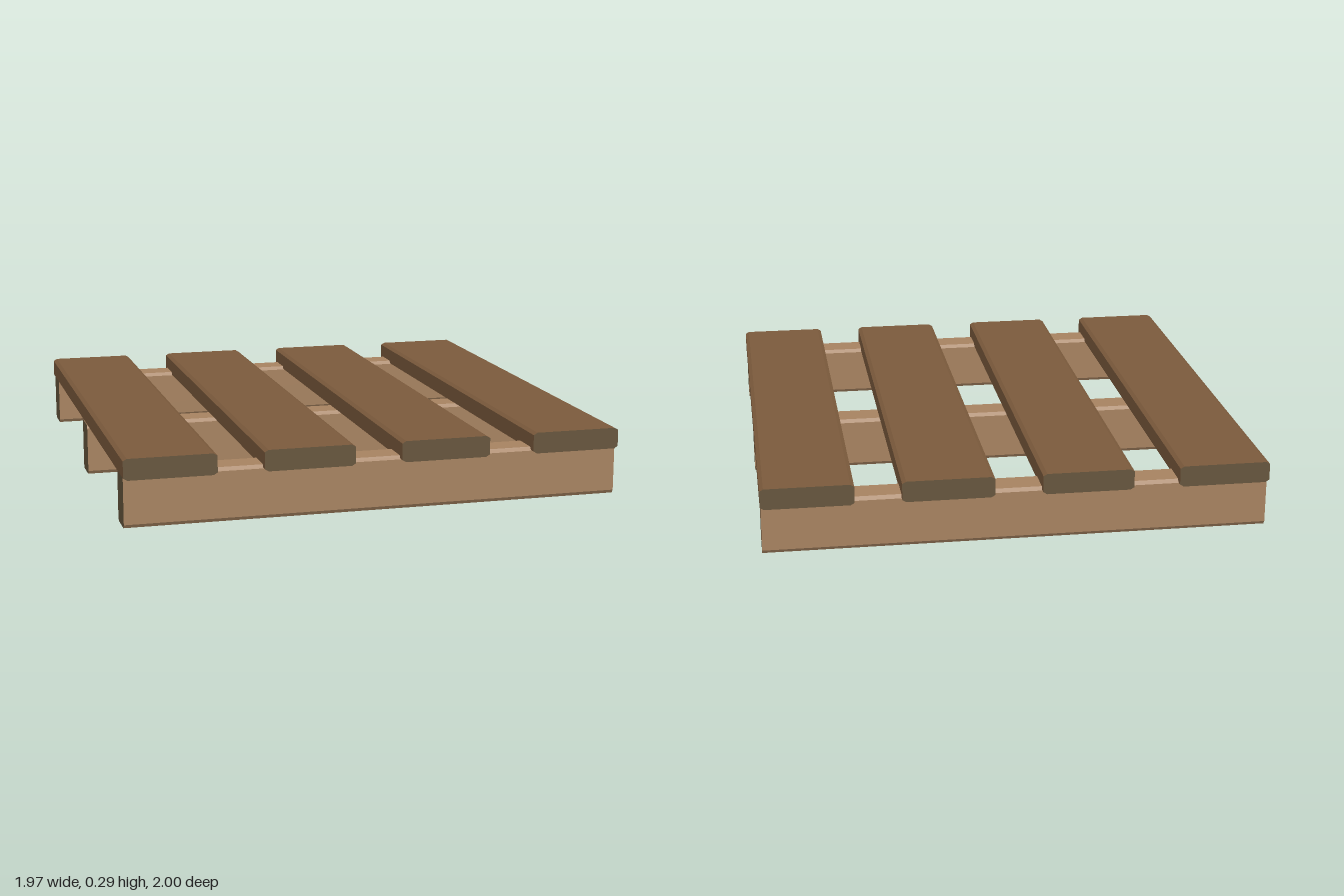
import * as THREE from 'three';

const endGrain = new THREE.MeshStandardMaterial({ color: 0x66553d });
const plankWood = new THREE.MeshStandardMaterial({ color: 0x7b5a3c });
const bearerWood = new THREE.MeshStandardMaterial({ color: 0xa68260 });

// A straight board along z with chamfered long edges and end-grain caps
function board(name, width, height, length, wood, cx, cy) {
  const w = width / 2, h = height / 2;
  const profile = new THREE.Shape([
    [-w + cx, -h], [w - cx, -h], [w, -h + cy], [w, h - cy],
    [w - cx, h], [-w + cx, h], [-w, h - cy], [-w, -h + cy],
  ].map(([x, y]) => new THREE.Vector2(x, y)));
  const geometry = new THREE.ExtrudeGeometry(profile, { depth: length, bevelEnabled: false });
  geometry.translate(0, 0, -length / 2);
  const mesh = new THREE.Mesh(geometry, [endGrain, wood]);
  mesh.name = name;
  return mesh;
}

export function createModel() {
  const pallet = new THREE.Group();
  pallet.name = 'pallet';

  // Four deck planks running front to back
  [-0.805, -0.27, 0.27, 0.805].forEach((x, i) => {
    const plank = board(`deckPlank${i + 1}`, 0.355, 0.083, 2, plankWood, 0.015, 0.009);
    plank.position.set(x, 0.251, 0);
    pallet.add(plank);
  });

  // Three bearers running side to side; the middle one sits slightly lower
  [['frontBearer', 0.913, 0.125], ['middleBearer', 0, 0.105], ['backBearer', -0.913, 0.125]]
    .forEach(([name, z, y]) => {
      const bearer = board(name, 0.125, 0.21, 1.96, bearerWood, 0.01, 0.014);
      bearer.rotation.y = Math.PI / 2;
      bearer.position.set(0, y, z);
      pallet.add(bearer);
    });

  return pallet;
}
